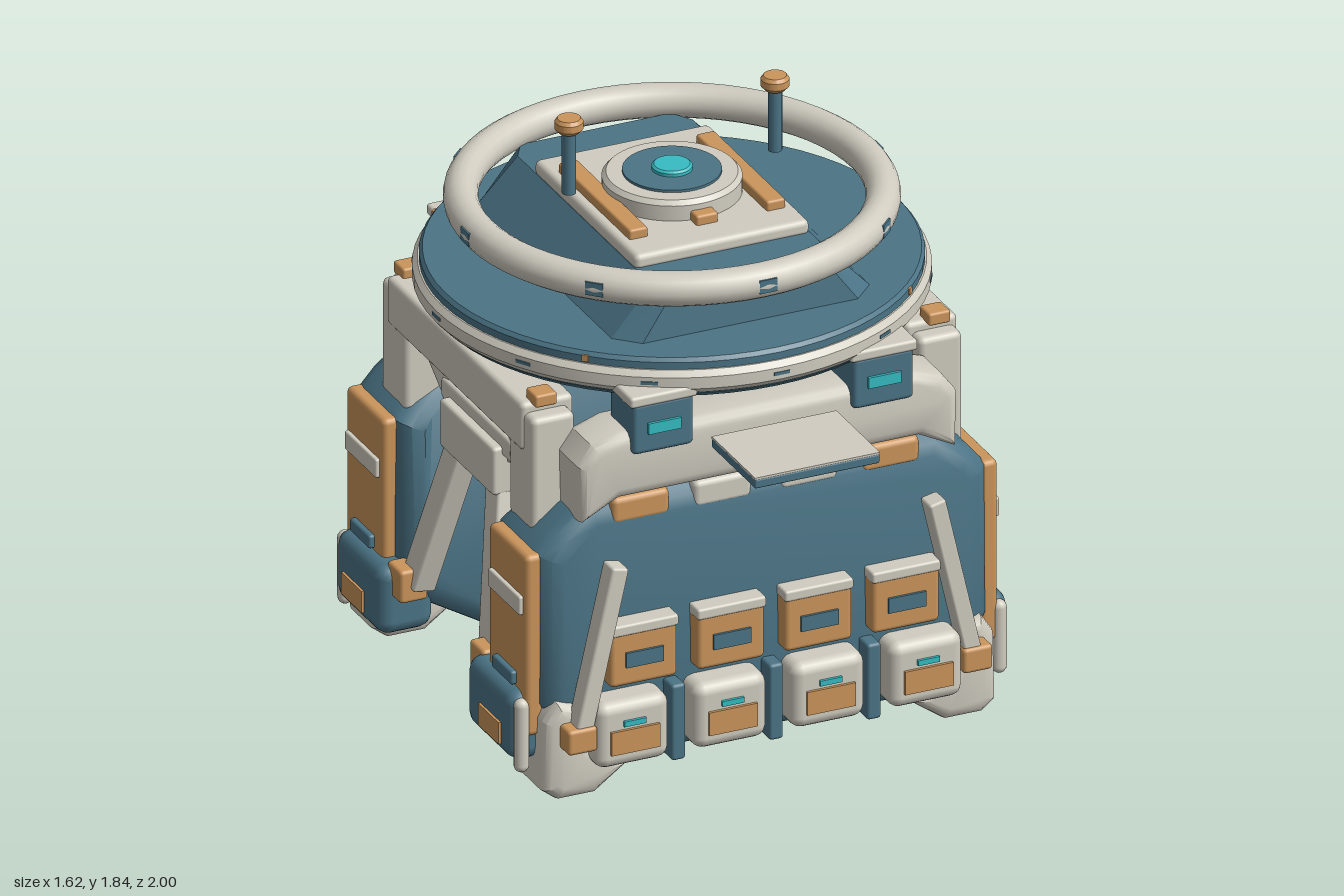
import * as THREE from 'three';
import { RoundedBoxGeometry } from 'three/addons/geometries/RoundedBoxGeometry.js';
import { toCreasedNormals } from 'three/addons/utils/BufferGeometryUtils.js';

const material = (name, color) => Object.assign(new THREE.MeshStandardMaterial({ color }), { name });
const grey = material('warm grey', 0xd0ccc0);
const blue = material('slate blue', 0x4b7486);
const orange = material('ochre', 0xcb955b);
const teal = material('teal', 0x36bcc2);

function add(parent, name, geometry, mat, x = 0, y = 0, z = 0) {
  const mesh = new THREE.Mesh(geometry, mat);
  mesh.name = name;
  mesh.position.set(x, y, z);
  parent.add(mesh);
  return mesh;
}

// Box given by its ranges along x, y and z, rounded when r > 0
function box(parent, name, mat, [x0, x1], [y0, y1], [z0, z1], r = 0) {
  const w = Math.abs(x1 - x0), h = y1 - y0, d = z1 - z0;
  const geometry = r ? new RoundedBoxGeometry(w, h, d, 2, r) : new THREE.BoxGeometry(w, h, d);
  return add(parent, name, geometry, mat, (x0 + x1) / 2, (y0 + y1) / 2, (z0 + z1) / 2);
}

// Bevelled block with an x-y outline between two depths
function bevelled(points, z0, z1, bevel) {
  const shape = new THREE.Shape(points.map(([x, y]) => new THREE.Vector2(x, y)));
  return new THREE.ExtrudeGeometry(shape, {
    depth: z1 - z0 - 2 * bevel, bevelThickness: bevel, bevelSize: bevel, bevelOffset: -bevel, bevelSegments: 3,
  }).translate(0, 0, z0 + bevel);
}
const plate = (parent, name, mat, points, z0, z1, bevel) =>
  add(parent, name, toCreasedNormals(bevelled(points, z0, z1, bevel), 0.6), mat);

// Rectangular bar between two points
function strut(parent, name, mat, from, to, w, d) {
  const a = new THREE.Vector3(...from), b = new THREE.Vector3(...to);
  const dir = b.clone().sub(a);
  const mesh = add(parent, name, new RoundedBoxGeometry(w, dir.length(), d, 1, 0.008), mat);
  mesh.position.copy(a).add(b).multiplyScalar(0.5);
  mesh.quaternion.setFromUnitVectors(new THREE.Vector3(0, 1, 0), dir.normalize());
  return mesh;
}

const turned = (parent, name, mat, points) => add(parent, name,
  toCreasedNormals(new THREE.LatheGeometry(points.map(([r, y]) => new THREE.Vector2(r, y)), 64), 0.6), mat);

const mirrored = half => [...half, ...half.map(([x, y]) => [-x, y]).reverse()];
const around = (c, w) => [c - w / 2, c + w / 2];

// Small marks set into a ring, their outer faces at radius r
function ringMarks(parent, name, mat, count, start, r, y, w, h) {
  for (let i = 0; i < count; i++) {
    const a = start + (i / count) * Math.PI * 2;
    const mark = add(parent, name, new THREE.BoxGeometry(w, h, 0.02), mat,
      Math.sin(a) * (r - 0.01), y, Math.cos(a) * (r - 0.01));
    mark.rotation.y = a;
  }
}

// Pod body: its inner side leans outwards and its face leans back near the top
function podBody() {
  const geometry = bevelled(
    mirrored([[0.45, 0.075], [0.66, 0.2], [0.72, 0.3], [0.72, 0.78], [0.67, 0.84], [0.56, 0.925]]), 0.28, 0.66, 0.07);
  const p = geometry.attributes.position;
  for (let i = 0; i < p.count; i++) {
    const t = THREE.MathUtils.clamp((p.getY(i) - 0.7) / 0.2, 0, 1);
    p.setZ(i, p.getZ(i) + (p.getZ(i) < 0.47 ? 0.08 : -0.015) * t);
  }
  return toCreasedNormals(geometry, 0.6);
}

// One leg pod with everything attached to its face and ends
function buildPod() {
  const pod = new THREE.Group();
  add(pod, 'podBody', podBody(), blue);

  // Lower row of pouches
  for (const x of [-0.47, -0.157, 0.157, 0.47]) {
    box(pod, 'lowerPouch', grey, around(x, 0.235), [0.11, 0.32], [0.58, 0.75], 0.035);
    box(pod, 'pouchLabel', orange, around(x, 0.155), [0.16, 0.235], [0.752, 0.761]);
    box(pod, 'pouchLight', teal, around(x, 0.07), [0.245, 0.262], [0.75, 0.759]);
  }
  for (const x of [-0.313, 0, 0.313]) {
    box(pod, 'pouchRib', blue, around(x, 0.045), [0.08, 0.325], [0.58, 0.72], 0.01);
  }

  // Upper row of lockers
  for (const x of [-0.42, -0.14, 0.14, 0.42]) {
    box(pod, 'locker', orange, around(x, 0.215), [0.35, 0.53], [0.6, 0.71], 0.015);
    box(pod, 'lockerLid', grey, around(x, 0.22), [0.515, 0.55], [0.6, 0.715], 0.008);
    box(pod, 'lockerSlot', blue, around(x, 0.12), [0.412, 0.46], [0.71, 0.718]);
  }

  // Tabs along the top edge
  [-0.4, -0.138, 0.138, 0.4].forEach((x, i) => {
    box(pod, 'topTab', i % 3 ? grey : orange, around(x, 0.185), [0.845, 0.93], [0.54, 0.65], 0.018);
  });

  for (const s of [1, -1]) {
    // Foot and diagonal front brace
    const foot = [[0.68, 0.005], [0.56, 0.005], [0.45, 0.085], [0.57, 0.16], [0.6, 0.3], [0.68, 0.32], [0.72, 0.26], [0.725, 0.04]];
    plate(pod, 'foot', grey, foot.map(([x, y]) => [s * x, y]), 0.475, 0.69, 0.04);
    strut(pod, 'frontBrace', grey, [s * 0.507, 0.75, 0.705], [s * 0.63, 0.21, 0.705], 0.055, 0.07);
    box(pod, 'braceFoot', orange, [s * 0.585, s * 0.68], [0.18, 0.26], [0.65, 0.75], 0.012);

    // End panel
    box(pod, 'endPanel', orange, [s * 0.7, s * 0.757], [0.2, 0.785], [0.36, 0.62], 0.018);
    box(pod, 'panelStrip', grey, [s * 0.75, s * 0.77], [0.59, 0.65], [0.385, 0.6], 0.006);
    box(pod, 'panelClip', blue, [s * 0.74, s * 0.775], [0.345, 0.388], [0.42, 0.555], 0.008);
    box(pod, 'endBox', blue, [s * 0.62, s * 0.8], [0.115, 0.34], [0.29, 0.61], 0.045);
    box(pod, 'endBoxLabel', orange, [s * 0.79, s * 0.808], [0.155, 0.225], [0.4, 0.54]);
    add(pod, 'endPipe', new THREE.CapsuleGeometry(0.023, 0.19, 4, 12), grey, s * 0.765, 0.205, 0.605);

    // Inner brace
    box(pod, 'innerBraceFoot', orange, [s * 0.67, s * 0.76], [0.245, 0.35], [0.235, 0.33], 0.012);
    strut(pod, 'innerBrace', grey, [s * 0.69, 0.29, 0.265], [s * 0.6, 0.8, 0.13], 0.075, 0.09);
  }
  return pod;
}

// One end of the upper frame with its lamps and shelf
function buildFrameEnd() {
  const end = new THREE.Group();
  plate(end, 'crossBeam', grey,
    mirrored([[0.48, 0.94], [0.6, 0.88], [0.605, 1.06], [0.56, 1.12], [0.47, 1.15]]), 0.49, 0.68, 0.035);
  for (const s of [1, -1]) {
    box(end, 'cornerPost', grey, [s * 0.55, s * 0.69], [0.8, 1.17], [0.355, 0.52], 0.02);
    box(end, 'cornerCap', orange, [s * 0.595, s * 0.665], [1.19, 1.23], [0.42, 0.49], 0.008);
    strut(end, 'kneeBrace', grey, [s * 0.6, 1.07, 0.36], [s * 0.58, 0.9, 0.19], 0.08, 0.075);
    box(end, 'kneePad', blue, [s * 0.52, s * 0.6], [0.99, 1.05], [0.25, 0.34], 0.01);

    // Hanging lamp
    box(end, 'lampBody', blue, [s * 0.255, s * 0.45], [1.085, 1.25], [0.535, 0.7], 0.015);
    box(end, 'lampCap', grey, [s * 0.245, s * 0.46], [1.24, 1.275], [0.56, 0.705], 0.01);
    box(end, 'lampLens', teal, [s * 0.3, s * 0.405], [1.15, 1.185], [0.7, 0.709]);
  }
  box(end, 'shelf', blue, [-0.2, 0.2], [1.062, 1.092], [0.7, 1], 0.006);
  box(end, 'shelfTop', grey, [-0.2, 0.2], [1.091, 1.098], [0.7, 1]);
  box(end, 'shelfBracket', blue, [-0.06, 0.06], [1.022, 1.064], [0.66, 0.855], 0.012);
  return end;
}

function buildTurret() {
  const turret = new THREE.Group();
  turned(turret, 'turretBase', blue, [[0, 1.19], [0.56, 1.19], [0.6, 1.23], [0.72, 1.23], [0.735, 1.245],
    [0.735, 1.345], [0.725, 1.357], [0, 1.357]]);
  turned(turret, 'baseRing', grey, [[0.72, 1.25], [0.74, 1.25], [0.755, 1.268], [0.755, 1.305], [0.74, 1.323], [0.72, 1.323]]);
  ringMarks(turret, 'baseRingMark', blue, 12, 0, 0.757, 1.287, 0.05, 0.01);
  ringMarks(turret, 'flangeMark', orange, 4, Math.PI / 4, 0.739, 1.338, 0.02, 0.02);

  // Sloped housing: a long trapezoid whose four corners are cut
  const corner = [[0.42, 0.47], [0.35, 0.54]], top = [[0.28, 0.46], [0.24, 0.525]];
  const loop = (pts) => [[1, 1], [-1, 1], [-1, -1], [1, -1]].flatMap(([sx, sz]) => {
    const p = pts.map(([x, z]) => [sx * x, sz * z]);
    return sx * sz > 0 ? p : p.reverse();
  });
  const position = [], index = [];
  for (const [pts, y] of [[corner, 1.35], [top, 1.5]]) for (const [x, z] of loop(pts)) position.push(x, y, z);
  for (let i = 0; i < 8; i++) {
    const j = (i + 1) % 8;
    index.push(i, i + 8, j, j, i + 8, j + 8);
    if (i > 0 && i < 7) index.push(8, 9 + i, 8 + i);
  }
  const housing = new THREE.BufferGeometry();
  housing.setAttribute('position', new THREE.Float32BufferAttribute(position, 3));
  housing.setIndex(index);
  add(turret, 'housing', toCreasedNormals(housing, 0.1), blue);

  // Deck plate and hatch
  box(turret, 'deckPlate', grey, [-0.28, 0.28], [1.49, 1.54], [-0.35, 0.35], 0.018);
  for (const s of [1, -1]) {
    box(turret, 'deckRail', orange, [s * 0.19, s * 0.25], [1.53, 1.57], [-0.245, 0.245], 0.008);
    box(turret, 'deckStud', orange, [-0.035, 0.035], [1.53, 1.57], around(s * 0.22, 0.05), 0.008);
  }
  turned(turret, 'hatchRim', grey, [[0.205, 1.53], [0.205, 1.588], [0.192, 1.602], [0, 1.602]]);
  turned(turret, 'hatch', blue, [[0.145, 1.6], [0.145, 1.61], [0, 1.61]]);
  turned(turret, 'hatchLight', teal, [[0.06, 1.605], [0.06, 1.62], [0.053, 1.626], [0, 1.626]]);

  // Upper hoop
  const hoop = add(turret, 'hoop', new THREE.TorusGeometry(0.614, 0.052, 16, 64), grey, 0, 1.525, 0);
  hoop.rotation.x = Math.PI / 2;
  ringMarks(turret, 'hoopMark', blue, 8, 0, 0.6645, 1.527, 0.055, 0.042);

  // Antennas
  for (const s of [1, -1]) {
    add(turret, 'antenna', new THREE.CylinderGeometry(0.021, 0.021, 0.21, 16), blue, s * 0.33, 1.705, 0);
    const knob = turned(turret, 'antennaKnob', orange, [[0, 1.795], [0.03, 1.797], [0.042, 1.81], [0.042, 1.832], [0.034, 1.843], [0, 1.843]]);
    knob.position.x = s * 0.33;
  }
  return turret;
}

export function createModel() {
  const model = new THREE.Group();
  model.name = 'walkerPlatform';
  ['front', 'back'].forEach((side, i) => {
    const parts = { Pod: buildPod(), FrameEnd: buildFrameEnd() };
    for (const [name, part] of Object.entries(parts)) {
      part.name = side + name;
      part.rotation.y = i * Math.PI;
      model.add(part);
    }
  });

  // Side beams and hanging brace blocks
  for (const s of [1, -1]) {
    box(model, 'sideBeam', grey, [s * 0.53, s * 0.7], [1.045, 1.2], [-0.465, 0.465], 0.018);
    box(model, 'braceBlock', grey, [s * 0.53, s * 0.66], [0.765, 0.92], [-0.185, 0.185], 0.012);
    box(model, 'braceBar', grey, [s * 0.53, s * 0.63], [0.89, 0.96], [-0.24, 0.24], 0.012);
  }

  const turret = buildTurret();
  turret.name = 'turret';
  model.add(turret);
  return model;
}
